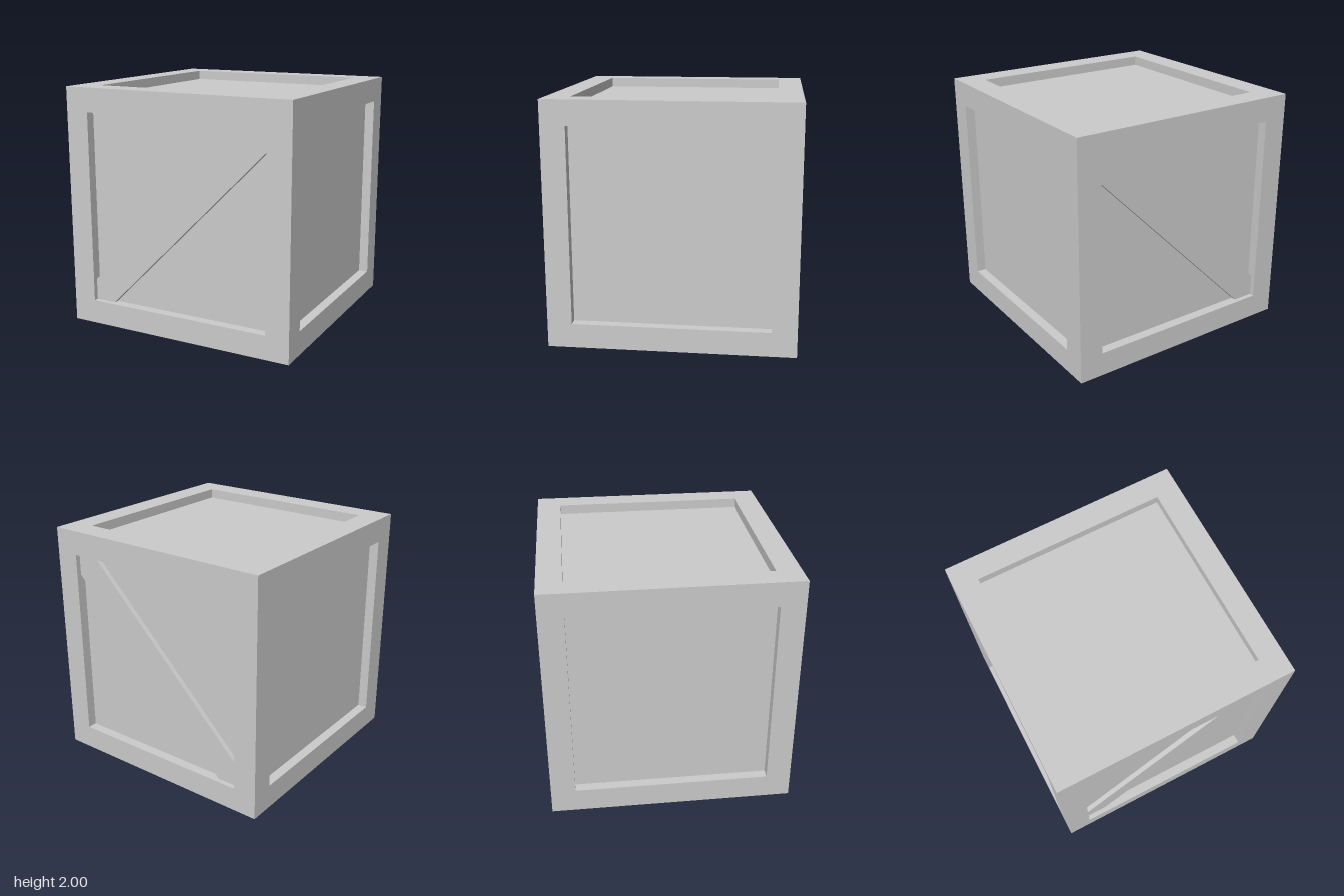
import * as THREE from 'three';

const SIZE = 2, BAR = 0.2, RECESS = 0.08, BRACE_INSET = 0.04, BRACE_HALF = 0.18;

export function createModel() {
  const crate = new THREE.Group();
  crate.name = 'crate';
  const material = new THREE.MeshStandardMaterial({ color: 0xcccccc, flatShading: true });
  const add = (name, geometry, x, y, z) => {
    const mesh = new THREE.Mesh(geometry, material);
    mesh.name = name;
    mesh.position.set(x, y, z);
    crate.add(mesh);
  };

  // Inner box whose faces are the six recessed panels
  const inner = SIZE - 2 * RECESS;
  add('panels', new THREE.BoxGeometry(inner, inner, inner), 0, 1, 0);

  // Frame: four full-height posts with rails butted between them
  const mid = (SIZE - BAR) / 2, span = SIZE - 2 * BAR;
  for (const a of [-1, 1]) {
    for (const b of [-1, 1]) {
      add('cornerPost', new THREE.BoxGeometry(BAR, SIZE, BAR), a * mid, 1, b * mid);
      add('widthRail', new THREE.BoxGeometry(span, BAR, BAR), 0, 1 + a * mid, b * mid);
      add('depthRail', new THREE.BoxGeometry(BAR, BAR, span), a * mid, 1 + b * mid, 0);
    }
  }

  // Diagonal braces, cut to fit the front and back openings
  const h = span / 2, cut = h - 2 * 0.5 * BRACE_HALF;
  const outline = new THREE.Shape([
    [-h, -h], [-cut, -h], [h, cut], [h, h], [cut, h], [-h, -cut],
  ].map(([x, y]) => new THREE.Vector2(x, y)));
  const depth = RECESS - BRACE_INSET + 0.02;
  const brace = new THREE.ExtrudeGeometry(outline, { depth, bevelEnabled: false });
  const face = SIZE / 2 - BRACE_INSET;
  add('frontBrace', brace, 0, 1, face - depth);
  add('backBrace', brace, 0, 1, -face);

  return crate;
}
